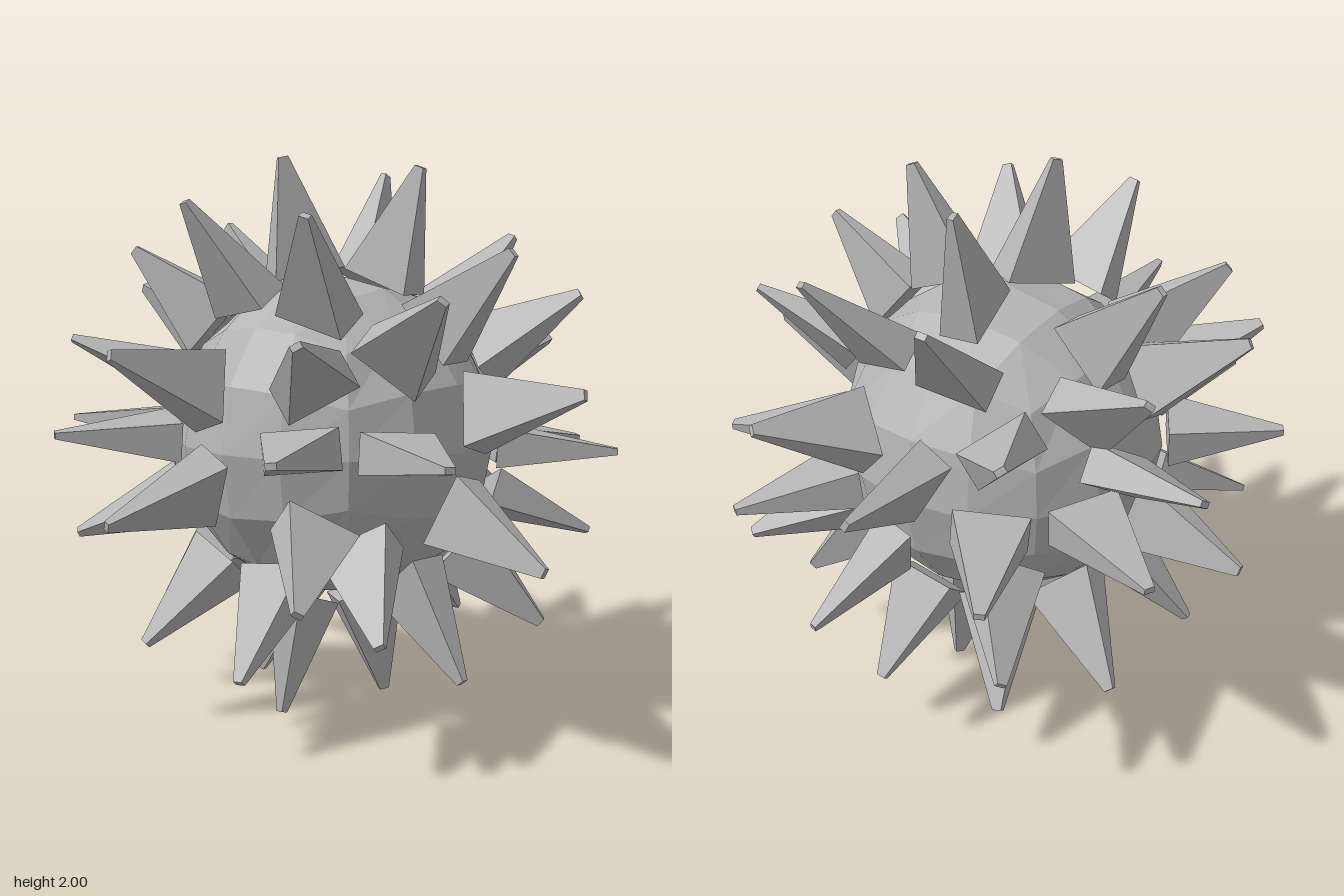
import * as THREE from 'three';

const BASE_R = 0.6, TIP_R = 1.015;

// Spike tip directions, measured from the ball centre
const TIPS = [
  // crown and underside
  [-.17, 1, -.1], [.35, .95, -.05], [.04, .96, .35], [.17, -1, .1], [-.35, -.95, .05], [-.05, -.95, -.34],
  // front half
  [-.02, .68, .78], [.41, .53, .78], [-.41, .53, .78], [-.78, .4, .52], [-.88, .06, .51], [-.51, .04, .88],
  [.07, .22, 1], [.5, -.03, .88], [.88, -.06, .51], [-.09, -.34, .95], [-.56, -.53, .66], [-.78, -.41, .52],
  [-.69, -.72, .18], [-.11, -.77, .66], [.38, -.67, .66], [.65, -.37, .7], [.95, -.34, .12], [.65, -.78, .1],
  [.9, .32, .36], [.62, .72, .35], [-.55, .78, .35],
  // back half
  [.06, -.19, -1], [.3, .2, -.95], [.5, -.03, -.88], [-.5, .04, -.88], [-.17, .53, -.86], [-.65, .36, -.7],
  [-.38, .68, -.67], [.11, .78, -.67], [.38, .53, -.78], [.78, .42, -.52], [.88, -.05, -.51], [-.88, .05, -.51],
  [-.55, .84, -.2], [.69, .72, -.18], [1, .19, -.1], [-.95, .35, -.12], [-1, -.19, -.1], [-.65, -.36, -.7],
  [.78, -.4, -.52], [.55, -.78, -.35], [.38, -.64, -.71], [-.2, -.7, -.71], [-.64, -.7, -.33],
];

// Faceted ball: a box grid pushed out to a sphere
function ballGeometry(radius) {
  const geo = new THREE.BoxGeometry(2, 2, 2, 4, 4, 4);
  const p = geo.attributes.position, v = new THREE.Vector3();
  for (let i = 0; i < p.count; i++) {
    v.fromBufferAttribute(p, i);
    v.set(...v.toArray().map(c => Math.tan(c * Math.PI / 4))).setLength(radius);
    p.setXYZ(i, v.x, v.y, v.z);
  }
  geo.computeVertexNormals();
  return geo;
}

// Tapered blade with a rectangular base and a blunt tip, pointing along +y
function spikeGeometry() {
  const h = TIP_R - BASE_R;
  const geo = new THREE.BoxGeometry(1, h, 1);
  const p = geo.attributes.position;
  for (let i = 0; i < p.count; i++) {
    const top = p.getY(i) > 0;
    p.setX(i, p.getX(i) * (top ? 0.035 : 0.26));
    p.setZ(i, p.getZ(i) * (top ? 0.022 : 0.14));
    p.setY(i, top ? TIP_R : BASE_R);
  }
  geo.computeVertexNormals();
  return geo;
}

// Direction in which the broad side of a spike lies
function broadAxis(d) {
  if (Math.abs(d.x) > 0.5 && Math.abs(d.y) > 0.65) return new THREE.Vector3(0, 0, 1);
  const a = d.toArray().map(Math.abs), k = a.indexOf(Math.max(...a));
  return new THREE.Vector3().setComponent(k, 1);
}

export function createModel() {
  const group = new THREE.Group();
  group.name = 'spikedBall';
  const grey = new THREE.MeshStandardMaterial({ color: 0xb4b4b4, flatShading: true });
  grey.name = 'grey';

  const ball = new THREE.Mesh(ballGeometry(0.585), grey);
  ball.name = 'ball';
  ball.position.y = 1;
  group.add(ball);

  const spikes = new THREE.Group();
  spikes.name = 'spikes';
  spikes.position.y = 1;
  const geo = spikeGeometry();
  for (const t of TIPS) {
    const y = new THREE.Vector3(...t).normalize();
    const x = broadAxis(y);
    x.addScaledVector(y, -x.dot(y)).normalize();
    const z = new THREE.Vector3().crossVectors(x, y);
    const spike = new THREE.Mesh(geo, grey);
    spike.name = 'spike';
    spike.quaternion.setFromRotationMatrix(new THREE.Matrix4().makeBasis(x, y, z));
    spikes.add(spike);
  }
  group.add(spikes);
  return group;
}
